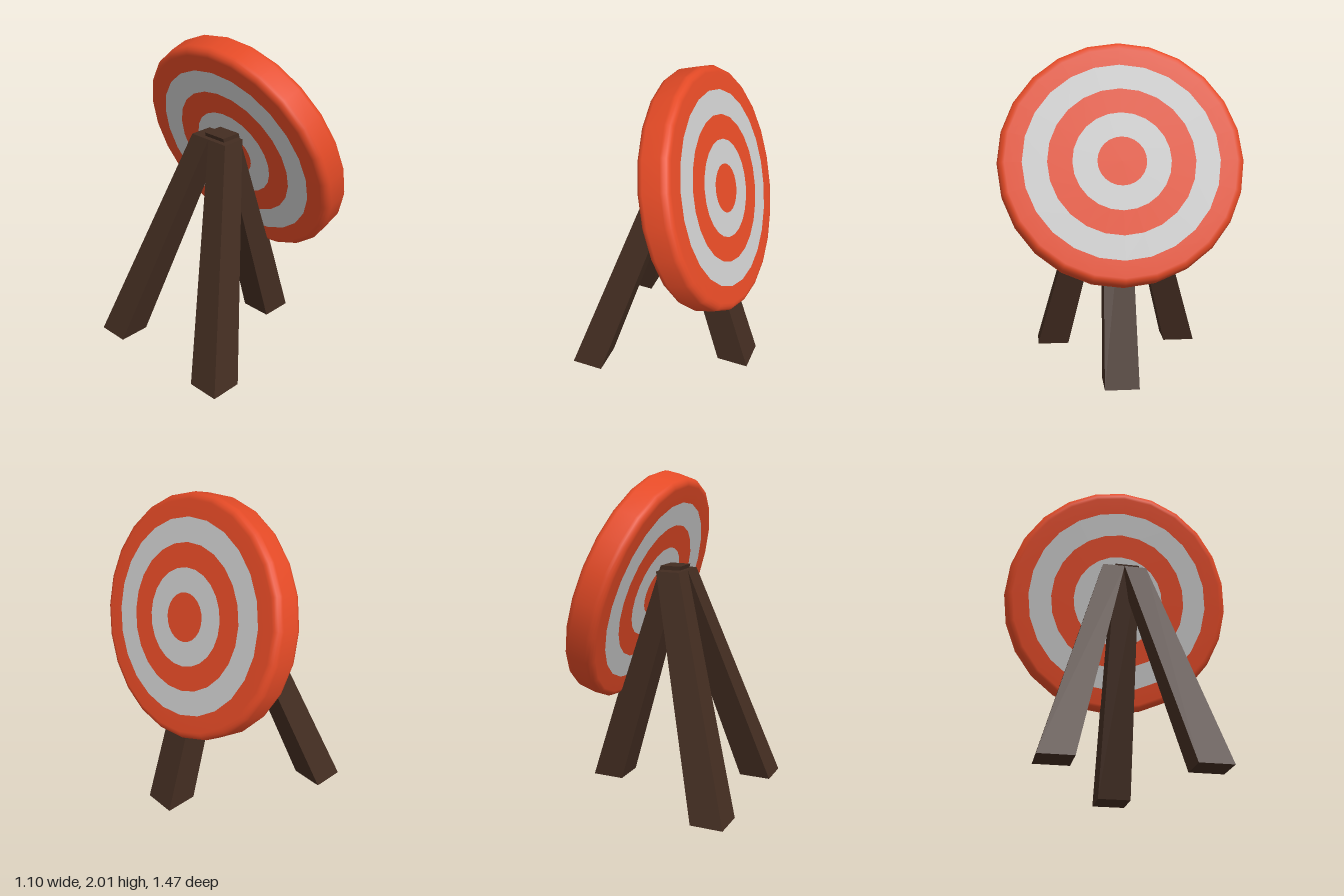
import * as THREE from 'three';

const SIDES = 24;
const RADIUS = 0.735;
const HALF = 0.1; // half thickness of the disc
const BEVEL = 0.045;
const BANDS = [0, 0.147, 0.294, 0.441, 0.588];

const red = new THREE.MeshStandardMaterial({ color: 0xe44a26 });
const pale = new THREE.MeshStandardMaterial({ color: 0xcccccc });
const wood = new THREE.MeshStandardMaterial({ color: 0x432d21 });

function add(parent, name, geometry, material) {
  const mesh = new THREE.Mesh(geometry, material);
  mesh.name = name;
  parent.add(mesh);
  return mesh;
}

// Tapered, leaning post between two level rectangles given as [minX, maxX, minZ, maxZ]
function legGeometry(foot, head, height) {
  const geometry = new THREE.BoxGeometry(1, 1, 1);
  const p = geometry.attributes.position;
  for (let i = 0; i < p.count; i++) {
    const up = p.getY(i) > 0;
    const r = up ? head : foot;
    p.setXYZ(i, p.getX(i) < 0 ? r[0] : r[1], up ? height : 0, p.getZ(i) < 0 ? r[2] : r[3]);
  }
  geometry.computeVertexNormals();
  return geometry;
}

// Rounded outer rim, including the outermost band on both faces
function rimGeometry() {
  const inner = BANDS[BANDS.length - 1];
  const half = [new THREE.Vector2(inner, HALF)];
  for (let i = 0; i <= 4; i++) {
    const a = (i / 4) * Math.PI / 2;
    half.push(new THREE.Vector2(
      RADIUS - BEVEL + BEVEL * Math.sin(a),
      HALF - BEVEL + BEVEL * Math.cos(a)));
  }
  const lower = half.map((v) => new THREE.Vector2(v.x, -v.y));
  return new THREE.LatheGeometry([...lower, ...half.reverse()], SIDES);
}

export function createModel() {
  const model = new THREE.Group();
  model.name = 'targetOnStand';

  // Disc, built lying flat and then tilted back
  const disc = new THREE.Group();
  disc.name = 'targetDisc';
  add(disc, 'rim', rimGeometry(), red);
  for (const side of [1, -1]) {
    const label = side > 0 ? 'front' : 'back';
    for (let i = 0; i < BANDS.length - 1; i++) {
      const geometry = i === 0
        ? new THREE.CircleGeometry(BANDS[1], SIDES)
        : new THREE.RingGeometry(BANDS[i], BANDS[i + 1], SIDES);
      geometry.rotateX(-side * Math.PI / 2);
      geometry.translate(0, side * HALF, 0);
      add(disc, i === 0 ? `${label}Bullseye` : `${label}Ring${i}`, geometry, i % 2 ? pale : red);
    }
  }
  disc.rotation.z = -THREE.MathUtils.degToRad(71.6);
  disc.position.set(0.22, 1.289, 0);
  model.add(disc);

  // Tripod stand
  const stand = new THREE.Group();
  stand.name = 'stand';
  add(stand, 'frontLeg', legGeometry([0.345, 0.55, -0.08, 0.125], [-0.065, 0.1, -0.055, 0.1], 1.43), wood);
  add(stand, 'leftBackLeg', legGeometry([-0.55, -0.347, 0.303, 0.508], [-0.09, 0.06, 0, 0.14], 1.405), wood);
  add(stand, 'rightBackLeg', legGeometry([-0.55, -0.347, -0.56, -0.355], [-0.09, 0.06, -0.14, 0], 1.405), wood);
  model.add(stand);

  return model;
}
